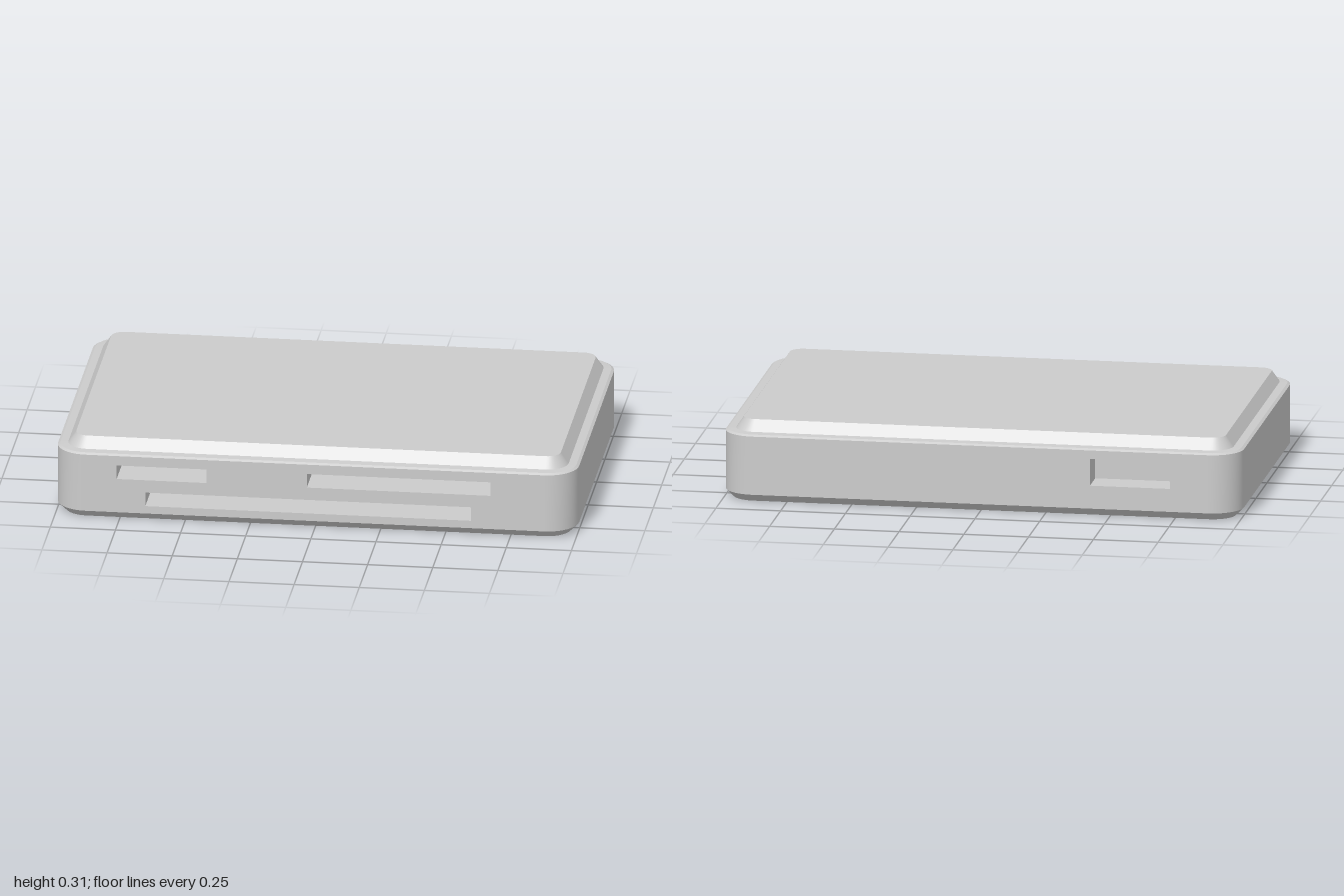
import * as THREE from 'three';

const HALF_X = 1, HALF_Z = 0.637, RADIUS = 0.12, STEPS = 10;
const PER_CORNER = STEPS + 1, COUNT = 4 * PER_CORNER;
const WALL_LOW = 0.03, WALL_HIGH = 0.258;
const grey = new THREE.MeshStandardMaterial({ color: 0xcccccc });
const inner = new THREE.MeshStandardMaterial({ color: 0xcccccc, side: THREE.DoubleSide });

function add(parent, name, geometry, material = grey) {
  const mesh = new THREE.Mesh(geometry, material);
  mesh.name = name;
  parent.add(mesh);
  return mesh;
}

// Rounded rectangle outline, moved inwards by inset, at height y
function ring(inset, y) {
  const out = [];
  for (let c = 0; c < 4; c++) {
    const sx = c === 0 || c === 3 ? 1 : -1, sz = c < 2 ? 1 : -1;
    for (let i = 0; i <= STEPS; i++) {
      const a = (c + i / STEPS) * Math.PI / 2, r = RADIUS - inset;
      out.push(sx * (HALF_X - RADIUS) + r * Math.cos(a), y, sz * (HALF_Z - RADIUS) + r * Math.sin(a));
    }
  }
  return out;
}

function fromRings(positions, index) {
  const g = new THREE.BufferGeometry();
  g.setAttribute('position', new THREE.Float32BufferAttribute(positions, 3));
  g.setIndex(index);
  g.computeVertexNormals();
  return g;
}

// Strip between two outlines; the flat front and back can be left open
function band(low, high, open = false) {
  const index = [], kept = [];
  for (let i = 0; i < COUNT; i++) {
    const j = (i + 1) % COUNT;
    const quad = [i, i + COUNT, j, j, i + COUNT, j + COUNT];
    index.push(...quad);
    const flat = i === STEPS || i === 2 * PER_CORNER + STEPS;
    if (!(open && flat)) kept.push(...quad);
  }
  const g = fromRings([...ring(...low), ...ring(...high)], index);
  g.setIndex(kept);
  return g;
}

function cap(inset, y, up) {
  const index = [];
  for (let i = 1; i < COUNT - 1; i++) index.push(0, up ? i + 1 : i, up ? i : i + 1);
  return fromRings(ring(inset, y), index);
}

// Flat wall with rectangular openings [x0, x1, y0, y1, depth] and a pocket behind each
function slottedWall(name, slots) {
  const wall = new THREE.Group();
  wall.name = name;
  const w = HALF_X - RADIUS;
  const rect = (path, x0, x1, y0, y1) =>
    path.moveTo(x0, y0).lineTo(x1, y0).lineTo(x1, y1).lineTo(x0, y1).closePath();
  const shape = rect(new THREE.Shape(), -w, w, WALL_LOW, WALL_HIGH);
  for (const [x0, x1, y0, y1, depth] of slots) {
    shape.holes.push(rect(new THREE.Path(), x0, x1, y0, y1));
    const box = new THREE.BoxGeometry(x1 - x0, y1 - y0, depth);
    // Drop the outward face so that the pocket is open
    const index = Array.from(box.index.array);
    index.splice(24, 6);
    box.setIndex(index);
    box.clearGroups();
    box.translate((x0 + x1) / 2, (y0 + y1) / 2, HALF_Z - depth / 2);
    add(wall, 'slotPocket', box, inner);
  }
  add(wall, 'wallPanel', new THREE.ShapeGeometry(shape).translate(0, 0, HALF_Z));
  return wall;
}

export function createModel() {
  const model = new THREE.Group();
  model.name = 'cardReader';

  // Case: base, chamfer, upright wall and softened rim
  add(model, 'base', cap(0.03, 0, false));
  add(model, 'baseChamfer', band([0.03, 0], [0, WALL_LOW]));
  add(model, 'sideWall', band([0, WALL_LOW], [0, WALL_HIGH], true));
  add(model, 'rimEdge', band([0, WALL_HIGH], [0.01, 0.264]));
  add(model, 'rimLedge', band([0.01, 0.264], [0.04, 0.267]));

  // Raised lid with sloping edge
  add(model, 'lidBevel', band([0.04, 0.267], [0.07, 0.31]));
  add(model, 'lidTop', cap(0.07, 0.31, true));

  // Three card slots in front
  model.add(slottedWall('frontWall', [
    [-0.76, -0.415, 0.165, 0.22, 0.4],
    [-0.03, 0.675, 0.165, 0.22, 0.4],
    [-0.65, 0.6, 0.06, 0.115, 0.4],
  ]));

  // Cable port at the back
  const back = slottedWall('backWall', [[0.425, 0.735, 0.12, 0.225, 0.12]]);
  back.rotation.y = Math.PI;
  model.add(back);
  return model;
}
